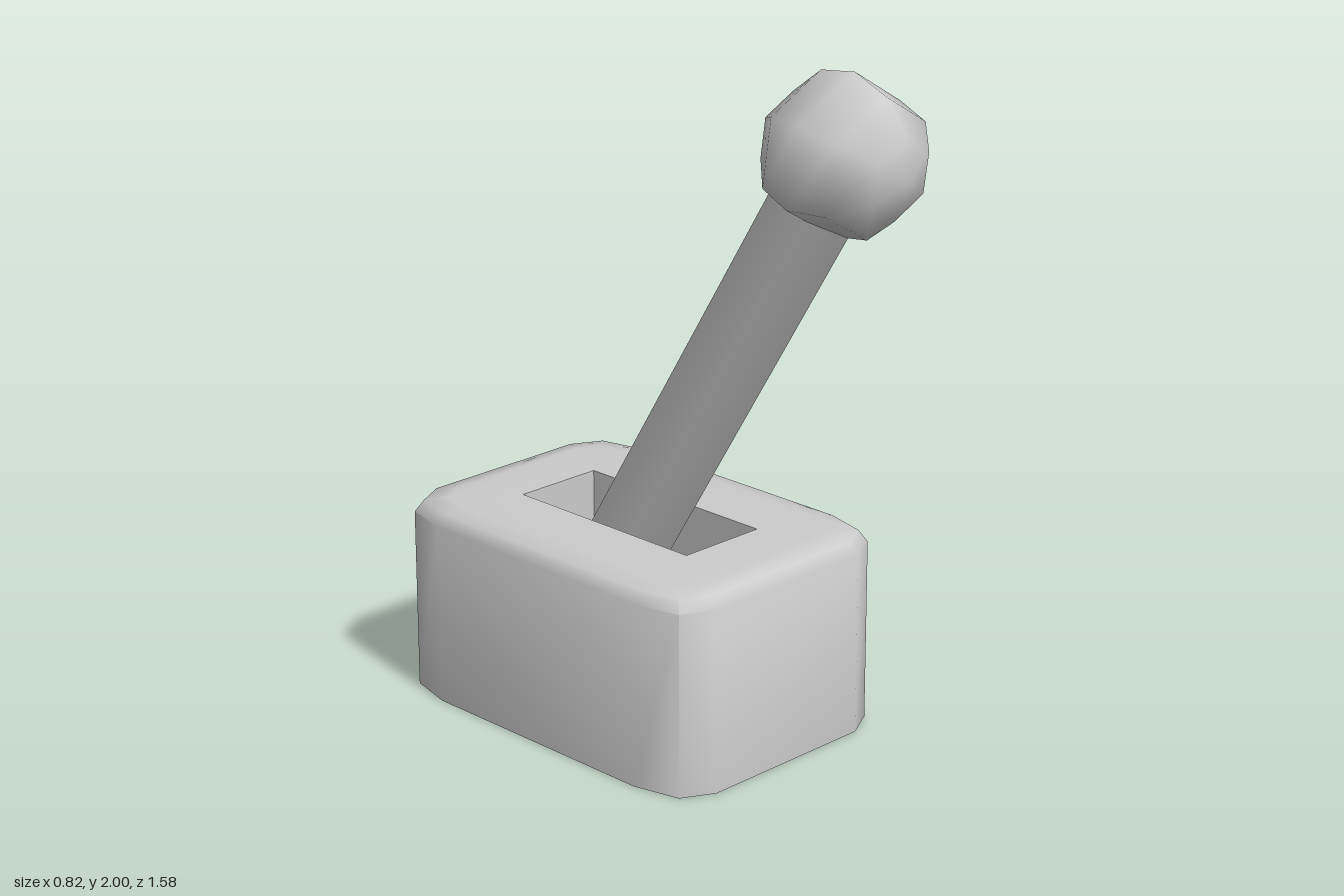
import * as THREE from 'three';
import { mergeGeometries, toCreasedNormals } from 'three/addons/utils/BufferGeometryUtils.js';

const SLOT = { halfX: 0.14, halfZ: 0.333, floor: 0.31 };
const TOP = 0.585;
const BASE_Z = -0.2;

// Rounded-rectangle outline, shrunk by an inset; counter-clockwise in (x, -z)
function outline(inset) {
  const hx = 0.41 - inset, hl = 0.59 - inset, k = 1 - inset * 3;
  const corner = [[hx, hl - 0.19 * k], [hx - 0.035 * k, hl - 0.05 * k], [hx - 0.13 * k, hl]];
  const back = [...corner].reverse();
  return [
    ...corner,
    ...back.map(([x, y]) => [-x, y]),
    ...corner.map(([x, y]) => [-x, -y]),
    ...back.map(([x, y]) => [x, -y]),
  ].map(([x, y]) => new THREE.Vector2(x, y));
}

// Housing: lofted walls with a soft top edge, slotted top and flat bottom
function housingGeometry() {
  const rings = [[0, 0], [0.54, 0], [0.575, 0.022], [TOP, 0.08]];
  const position = [];
  for (let r = 0; r < rings.length - 1; r++) {
    const [y0, inset0] = rings[r], [y1, inset1] = rings[r + 1];
    const low = outline(inset0), high = outline(inset1);
    low.forEach((a, i) => {
      const j = (i + 1) % low.length, b = low[j], c = high[j], d = high[i];
      position.push(a.x, y0, -a.y, b.x, y0, -b.y, c.x, y1, -c.y);
      position.push(a.x, y0, -a.y, c.x, y1, -c.y, d.x, y1, -d.y);
    });
  }
  const walls = new THREE.BufferGeometry();
  walls.setAttribute('position', new THREE.Float32BufferAttribute(position, 3));

  const topShape = new THREE.Shape(outline(0.08));
  const { halfX: sx, halfZ: sz } = SLOT;
  topShape.holes.push(new THREE.Path([[-sx, -sz], [-sx, sz], [sx, sz], [sx, -sz]]
    .map(([x, y]) => new THREE.Vector2(x, y))));
  const top = new THREE.ShapeGeometry(topShape).rotateX(-Math.PI / 2).translate(0, TOP, 0);
  const bottom = new THREE.ShapeGeometry(new THREE.Shape(outline(0))).rotateX(Math.PI / 2);

  const caps = [top, bottom].map((g) => {
    const flat = g.toNonIndexed();
    flat.deleteAttribute('normal');
    flat.deleteAttribute('uv');
    return flat;
  });
  return toCreasedNormals(mergeGeometries([walls, ...caps]), 0.95);
}

// Slot lining: a box seen from inside, without its lid
function slotGeometry() {
  const depth = TOP - SLOT.floor;
  const box = new THREE.BoxGeometry(SLOT.halfX * 2, depth, SLOT.halfZ * 2);
  const index = Array.from(box.index.array);
  index.splice(12, 6);
  box.setIndex(index);
  box.clearGroups();
  return box.translate(0, TOP - depth / 2, 0);
}

export function createModel() {
  const model = new THREE.Group();
  model.name = 'lever';
  const grey = new THREE.MeshStandardMaterial({ color: 0xcccccc });
  const inside = new THREE.MeshStandardMaterial({ color: 0xcccccc, side: THREE.BackSide });

  function add(name, geometry, material = grey) {
    const mesh = new THREE.Mesh(geometry, material);
    mesh.name = name;
    model.add(mesh);
    return mesh;
  }

  add('housing', housingGeometry()).position.z = BASE_Z;
  add('slot', slotGeometry(), inside).position.z = BASE_Z;

  // Pivot pin across the slot
  const pin = add('pivotPin', new THREE.CylinderGeometry(0.042, 0.042, SLOT.halfX * 2, 12));
  pin.rotation.z = Math.PI / 2;
  pin.position.set(0, 0.48, -0.245);

  // Six-sided handle leaning forward, its foot sunk into the slot floor
  const foot = new THREE.Vector3(0, 0.22, -0.407);
  const end = new THREE.Vector3(0, 1.72, 0.526);
  const axis = end.clone().sub(foot);
  const handle = add('handle', new THREE.CylinderGeometry(0.136, 0.136, axis.length(), 6));
  handle.position.copy(foot).add(end).multiplyScalar(0.5);
  handle.rotation.x = Math.atan2(axis.z, axis.y);

  // Low-poly knob with its pole facing forward and slightly down
  const knob = new THREE.SphereGeometry(0.227, 6, 6)
    .rotateY(Math.PI / 6)
    .rotateX(THREE.MathUtils.degToRad(98.3));
  add('knob', knob).position.set(0, 1.775, 0.566);

  return model;
}
